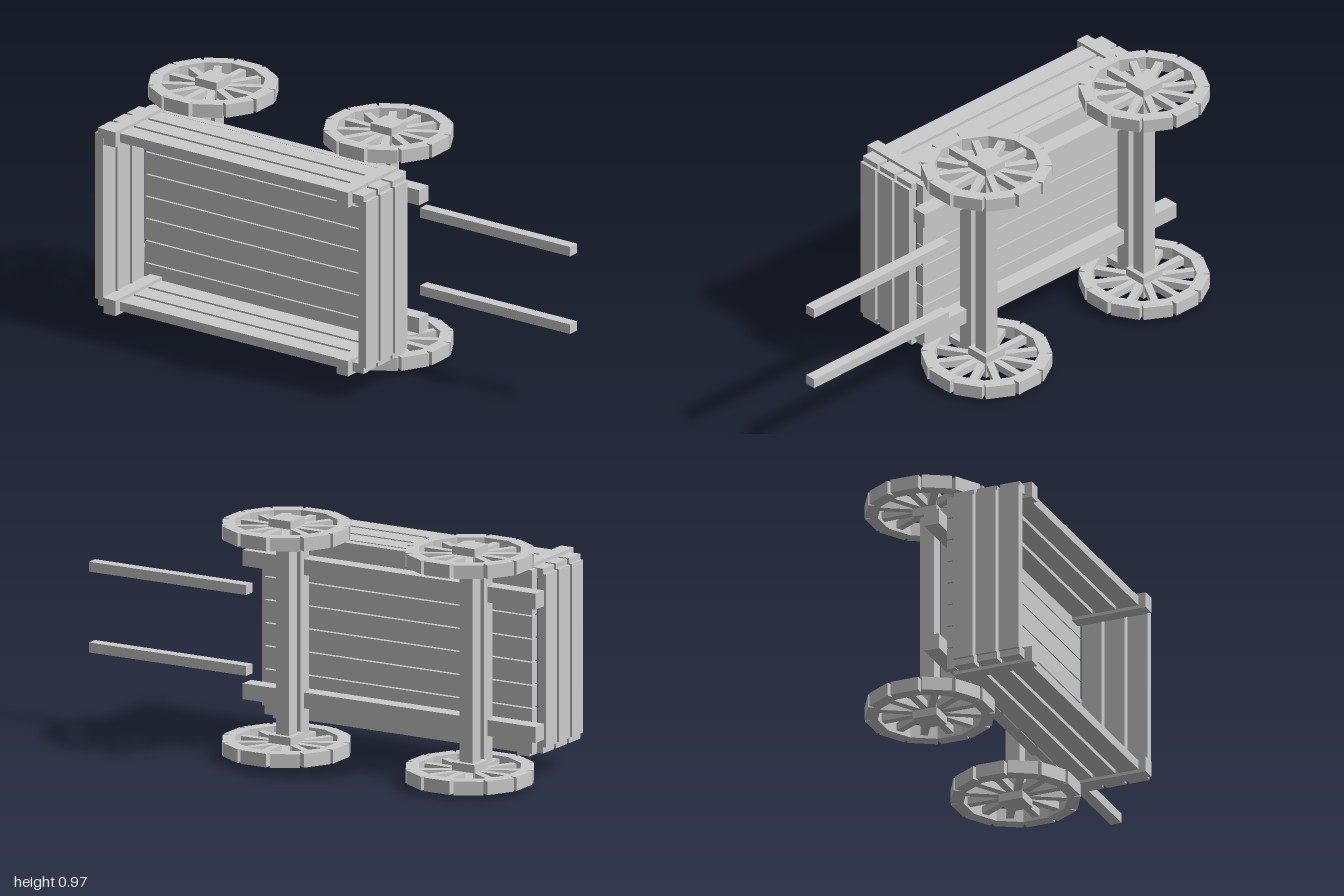
import * as THREE from 'three';

const material = new THREE.MeshStandardMaterial({ color: 0xcccccc, flatShading: true });

// Box given by its minimum and maximum on each axis
function beam(parent, name, [x0, x1], [y0, y1], [z0, z1]) {
  const mesh = new THREE.Mesh(new THREE.BoxGeometry(x1 - x0, y1 - y0, z1 - z0), material);
  mesh.position.set((x0 + x1) / 2, (y0 + y1) / 2, (z0 + z1) / 2);
  mesh.name = name;
  parent.add(mesh);
  return mesh;
}

// Wheel turning about y: square hub, 12 spokes and 12 straight rim blocks
function createWheel() {
  const wheel = new THREE.Group();
  wheel.name = 'wheel';
  beam(wheel, 'hub', [-0.051, 0.051], [-0.048, 0.048], [-0.051, 0.051]);
  for (let i = 0; i < 12; i++) {
    const sector = new THREE.Group();
    sector.name = 'wheelSector';
    sector.rotation.y = i * Math.PI / 6;
    beam(sector, 'spoke', [0.03, 0.21], [-0.015, 0.015], [-0.015, 0.015]);
    beam(sector, 'rimBlock', [0.199, 0.25], [-0.0275, 0.0275], [-0.059, 0.059]);
    wheel.add(sector);
  }
  return wheel;
}

export function createModel() {
  const cart = new THREE.Group();
  cart.name = 'cart';
  const midY = 0.484;
  // Mirrored y range about the cart's centre line
  const mirror = ([a, b], s) => s > 0 ? [a, b] : [2 * midY - b, 2 * midY - a];

  // Floor planks
  for (let i = 0; i < 8; i++) {
    const y = 0.159 + i * 0.0932;
    beam(cart, 'floorPlank', [-0.94, 0.285], [y - 0.044, y + 0.044], [0.028, 0.064]);
  }

  // Three courses of side and end boards
  for (const z of [0.111, 0.209, 0.307]) {
    const depth = [z - 0.042, z + 0.042];
    for (const s of [1, -1]) {
      beam(cart, 'sideBoard', [-0.965, 0.308], mirror([0.819, 0.857], s), depth);
    }
    beam(cart, 'endBoard', [-0.978, -0.94], [0.137, 0.835], depth);
    beam(cart, 'endBoard', [0.285, 0.321], [0.137, 0.835], depth);
  }

  for (const s of [1, -1]) {
    // Posts holding the side boards
    for (const x of [-0.888, 0.228]) {
      beam(cart, 'sidePost', [x - 0.028, x + 0.028], mirror([0.806, 0.87], s), [0.046, 0.379]);
    }
    // Long chassis beams and pulling shafts
    beam(cart, 'chassisBeam', [-1, 0.342], mirror([0.721, 0.785], s), [-0.044, 0.02]);
    beam(cart, 'shaft', [0.28, 1], mirror([0.627, 0.667], s), [-0.118, -0.072]);
  }

  // Axles, bolsters and wheels
  for (const x of [-0.75, 0.09]) {
    const width = [x - 0.03, x + 0.03];
    beam(cart, 'axle', width, [0.06, 0.908], [-0.157, -0.098]);
    beam(cart, 'bolster', width, [0.075, 0.895], [-0.07, -0.008]);
    for (const y of [0.048, 0.92]) {
      const wheel = createWheel();
      wheel.position.set(x, y, -0.128);
      cart.add(wheel);
    }
  }
  return cart;
}
